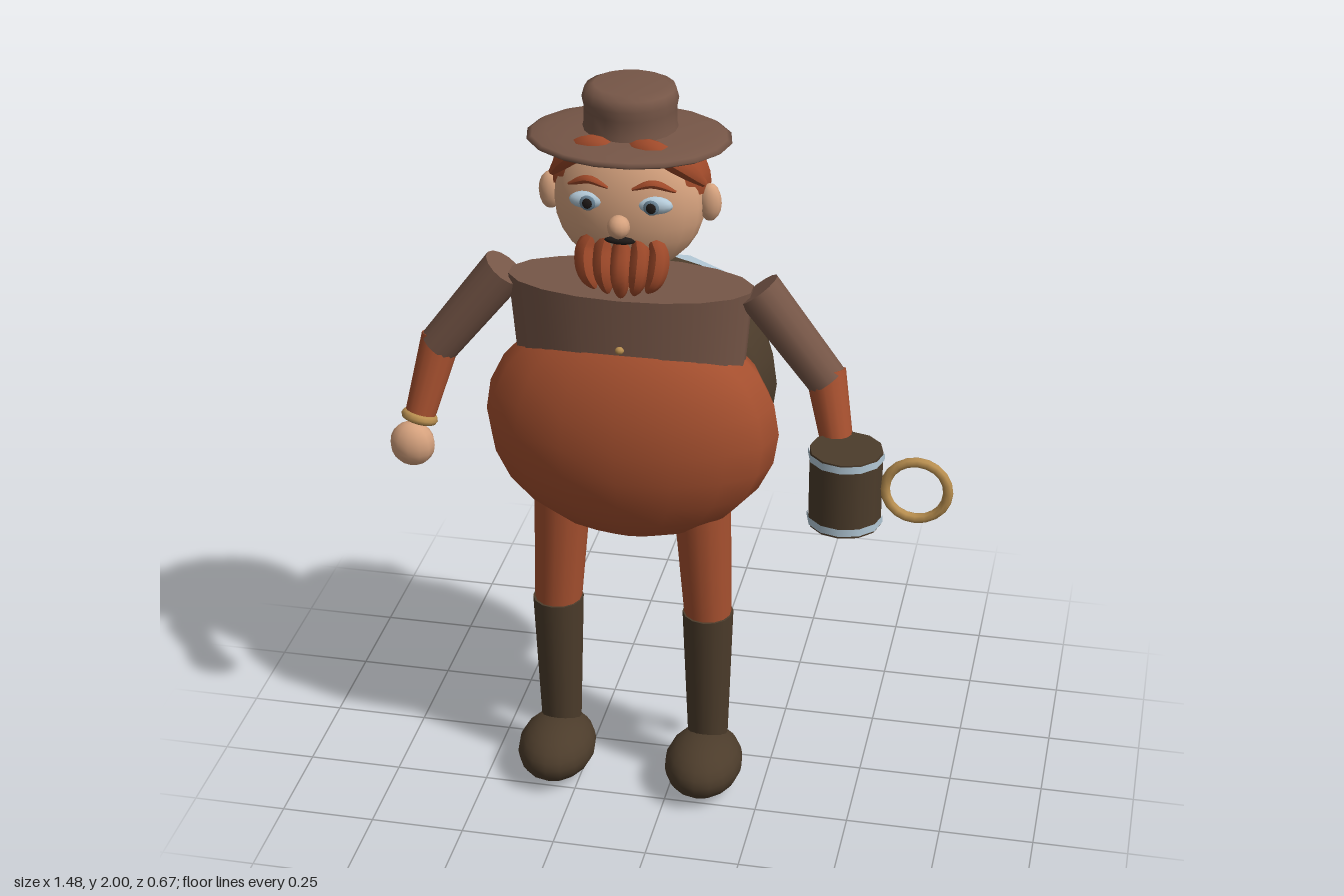
import * as THREE from 'three';

const paint = (name, color) => {
  const m = new THREE.MeshStandardMaterial({ color });
  m.name = name;
  return m;
};
const V = (x, y, z) => new THREE.Vector3(x, y, z);

export function createModel() {
  const rust = paint('rust', 0xa6502f);
  const brown = paint('brown', 0x765647);
  const dark = paint('darkBrown', 0x4c3c2b);
  const skin = paint('skin', 0xd6a27e);
  const metal = paint('paleMetal', 0xb4cad8);
  const gold = paint('gold', 0xb98f50);
  const iris = paint('slateIris', 0x6d8799);
  const black = paint('black', 0x1f1a18);
  const hairMat = paint('hairRust', 0xa04a2a);
  hairMat.side = THREE.DoubleSide;

  const model = new THREE.Group();
  model.name = 'stoutTraveller';
  const body = new THREE.Group();
  body.name = 'figure';
  body.position.x = -0.113;
  model.add(body);

  const add = (name, geo, mat, x = 0, y = 0, z = 0) => {
    const m = new THREE.Mesh(geo, mat);
    m.name = name;
    m.position.set(x, y, z);
    body.add(m);
    return m;
  };
  // Ellipsoid with radii r at position p
  const ball = (name, mat, r, p, w = 16, h = 12) =>
    add(name, new THREE.SphereGeometry(1, w, h).scale(...r), mat, ...p);
  // Tapered cylinder between two points
  const limb = (name, mat, a, b, ra, rb, sides = 14) => {
    const dir = b.clone().sub(a);
    const m = add(name, new THREE.CylinderGeometry(rb, ra, dir.length(), sides), mat);
    m.position.copy(a).addScaledVector(dir, 0.5);
    m.quaternion.setFromUnitVectors(V(0, 1, 0), dir.normalize());
    return m;
  };
  // Tube along points, its radius following taper(t)
  const strand = (name, mat, pts, r, taper) => {
    const n = 14, sides = 8;
    const curve = new THREE.CatmullRomCurve3(pts);
    const geo = new THREE.TubeGeometry(curve, n, r, sides);
    const pos = geo.attributes.position, v = V(0, 0, 0);
    for (let i = 0; i <= n; i++) {
      const c = curve.getPointAt(i / n);
      for (let j = 0; j <= sides; j++) {
        const k = i * (sides + 1) + j;
        v.fromBufferAttribute(pos, k).sub(c).multiplyScalar(taper(i / n)).add(c);
        pos.setXYZ(k, v.x, v.y, v.z);
      }
    }
    geo.computeVertexNormals();
    return add(name, geo, mat);
  };

  // Torso
  ball('belly', rust, [0.387, 0.325, 0.202], [0, 1.077, 0.11]);
  add('shirt', new THREE.CylinderGeometry(1, 0.93, 0.26, 18).scale(0.317, 1, 0.135), brown, 0, 1.35, 0.107);
  ball('button', gold, [0.012, 0.01, 0.01], [0, 1.343, 0.24], 8, 6);
  add('neck', new THREE.CylinderGeometry(0.063, 0.066, 0.17, 14), skin, 0, 1.53, 0.105);

  // Head
  ball('head', skin, [0.192, 0.19, 0.115], [0, 1.705, 0.11], 20, 14);
  ball('nose', skin, [0.029, 0.03, 0.029], [0, 1.678, 0.234], 12, 8);
  ball('mouth', black, [0.04, 0.01, 0.012], [0, 1.637, 0.222], 10, 6);

  // Hair cap, lower at the back
  const cap = add('hairCap', new THREE.SphereGeometry(1, 18, 10, 0, Math.PI * 2, 0, Math.PI * 0.55)
    .scale(0.203, 0.145, 0.119), hairMat, 0, 1.755, 0.086);
  cap.rotation.x = -0.13;

  // Hat
  ball('hatBrim', brown, [0.258, 0.025, 0.207], [0, 1.867, 0.104], 18, 10);
  const crown = [[0.124, 1.865], [0.116, 1.9], [0.115, 1.94], [0.12, 1.965], [0.113, 1.99], [0.09, 2], [0, 2]]
    .map(([x, y]) => new THREE.Vector2(x, y));
  add('hatCrown', new THREE.LatheGeometry(crown, 18), brown, 0, 0, 0.088);

  // Beard strands
  for (let i = -2; i <= 2; i++) {
    const x = i * 0.046, a = Math.abs(i);
    const back = a * 0.006;
    strand('beardStrand', hairMat, [
      V(x * 0.85, 1.64 - a * 0.004, 0.203 - back), V(x, 1.6, 0.207 - back),
      V(x * 0.95, 1.54, 0.223 - back), V(x * 0.72, 1.478 + a * 0.01, 0.215),
    ], 0.028, t => Math.sqrt(Math.max(0, Math.sin(Math.PI * (0.1 + 0.89 * t)))));
  }

  for (const s of [-1, 1]) {
    const P = (x, y, z) => V(s * x, y, z);

    // Face details
    ball('ear', skin, [0.03, 0.05, 0.024], [s * 0.203, 1.708, 0.105], 12, 8);
    ball('eye', metal, [0.048, 0.023, 0.02], [s * 0.083, 1.732, 0.206], 14, 8);
    ball('iris', iris, [0.02, 0.02, 0.006], [s * 0.08, 1.731, 0.224], 12, 8);
    ball('pupil', black, [0.013, 0.014, 0.005], [s * 0.08, 1.731, 0.228], 10, 6);
    strand('eyebrow', hairMat, [P(0.03, 1.772, 0.215), P(0.08, 1.787, 0.208), P(0.135, 1.765, 0.192)],
      0.011, t => 0.3 + 0.7 * Math.sin(Math.PI * t));
    strand('foreLock', hairMat, [P(0, 1.852, 0.195), P(0.065, 1.882, 0.21), P(0.135, 1.835, 0.185), P(0.192, 1.765, 0.125)],
      0.027, t => 0.25 + 0.75 * Math.sin(Math.PI * (0.1 + 0.85 * t)));

    // Arm
    const elbow = P(0.508, 1.25, 0.112), wrist = P(0.55, 1.075, 0.165);
    limb('upperArm', brown, P(0.327, 1.48, 0.103), elbow, 0.06, 0.053);
    limb('forearm', rust, P(0.503, 1.27, 0.106), wrist, 0.052, 0.04);
    const cuff = add('bracelet', new THREE.TorusGeometry(0.035, 0.014, 8, 16), gold);
    cuff.position.copy(P(0.553, 1.063, 0.168));
    cuff.quaternion.setFromUnitVectors(V(0, 0, 1), wrist.clone().sub(elbow).normalize());
    ball('hand', skin, [0.06, 0.062, 0.046], [s * 0.57, 0.992, 0.186], 12, 10);

    // Leg
    limb('trouserLeg', rust, P(0.205, 0.52, 0.113), P(0.185, 0.9, 0.108), 0.063, 0.077);
    limb('boot', dark, P(0.205, 0.08, 0.106), P(0.205, 0.53, 0.114), 0.052, 0.068);
    ball('foot', dark, [0.105, 0.082, 0.14], [s * 0.205, 0.082, 0.166]);
  }

  // Round pack with two metal hoops
  ball('pack', dark, [0.341, 0.335, 0.213], [0, 1.102, -0.125]);
  for (const y of [1.338, 0.907]) {
    const hoop = add('packHoop', new THREE.CylinderGeometry(0.216, 0.216, 0.042, 10), metal, 0, y, -0.121);
    hoop.rotation.y = Math.PI / 10;
  }

  // Mug held in the left hand
  const mx = 0.58, mz = 0.237;
  add('mug', new THREE.CylinderGeometry(0.093, 0.093, 0.208, 12), dark, mx, 1.021, mz);
  for (const y of [1.113, 0.934]) {
    add('mugBand', new THREE.CylinderGeometry(0.097, 0.097, 0.02, 12, 1, true), metal, mx, y, mz);
  }
  add('mugHandle', new THREE.TorusGeometry(0.08, 0.013, 8, 20), gold, 0.76, 1.025, mz);

  return model;
}
